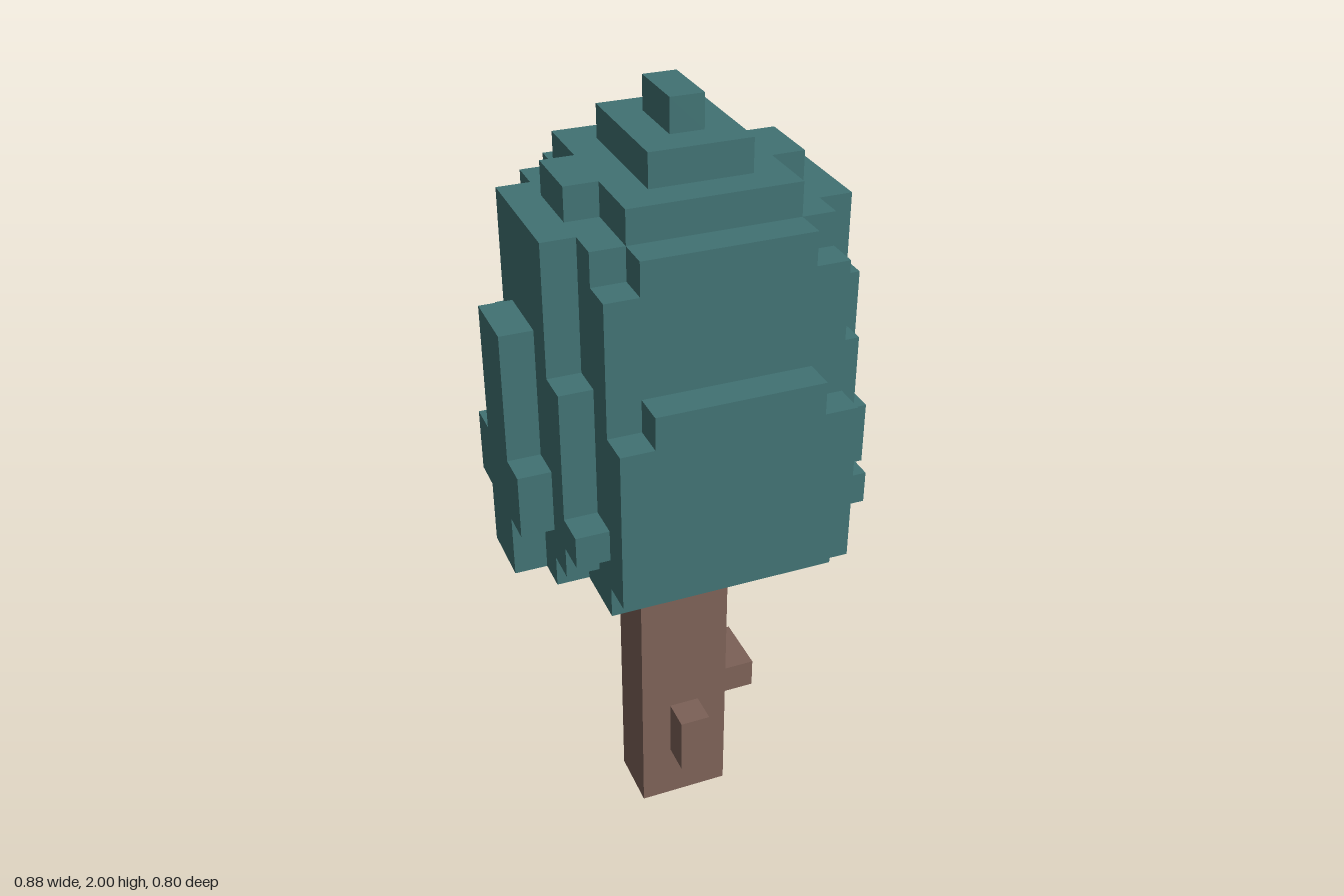
import * as THREE from 'three';

const leafMat = new THREE.MeshStandardMaterial({ color: 0x417273 });
const barkMat = new THREE.MeshStandardMaterial({ color: 0x7c6157 });

// Foliage bands: bottom, top, then the [half width, half depth] of each stair step
const BANDS = [
  [0.88, 0.96, [0.44, 0.08], [0.36, 0.16], [0.28, 0.32]],
  [0.96, 1.04, [0.44, 0.08], [0.36, 0.24], [0.28, 0.4]],
  [1.04, 1.12, [0.44, 0.16], [0.36, 0.32], [0.28, 0.4]],
  [1.12, 1.2, [0.44, 0.16], [0.36, 0.24], [0.28, 0.4]],
  [1.2, 1.36, [0.44, 0.08], [0.36, 0.24], [0.28, 0.4]],
  [1.36, 1.44, [0.44, 0.08], [0.36, 0.24], [0.28, 0.32], [0.2, 0.4]],
  [1.44, 1.52, [0.44, 0.08], [0.36, 0.16], [0.28, 0.32]],
  [1.52, 1.68, [0.36, 0.16], [0.28, 0.32]],
  [1.68, 1.76, [0.36, 0.16], [0.28, 0.24], [0.2, 0.32]],
  [1.76, 1.84, [0.28, 0.08], [0.2, 0.24]],
  [1.84, 1.92, [0.12, 0.16]],
  [1.92, 2.0, [0.04, 0.08]],
];

// Stepped outline of one band, mirrored from a single quadrant
function bandShape(steps) {
  const q = [];
  steps.forEach(([x, z], i) => {
    if (i > 0) q.push([x, steps[i - 1][1]]);
    q.push([x, z]);
  });
  const r = [...q].reverse();
  const flip = (pts, sx, sz) => pts.map(([x, z]) => new THREE.Vector2(x * sx, z * sz));
  return new THREE.Shape([
    ...flip(q, 1, 1), ...flip(r, -1, 1), ...flip(q, -1, -1), ...flip(r, 1, -1),
  ]);
}

// Box given by its minimum and maximum corners
function block(name, [x0, y0, z0], [x1, y1, z1]) {
  const mesh = new THREE.Mesh(new THREE.BoxGeometry(x1 - x0, y1 - y0, z1 - z0), barkMat);
  mesh.position.set((x0 + x1) / 2, (y0 + y1) / 2, (z0 + z1) / 2);
  mesh.name = name;
  return mesh;
}

export function createModel() {
  const tree = new THREE.Group();
  tree.name = 'tree';

  // Trunk with short branch stubs
  const trunk = new THREE.Group();
  trunk.name = 'trunk';
  trunk.add(
    block('trunkPost', [-0.12, 0, -0.08], [0.12, 0.88, 0.08]),
    block('rightBranch', [-0.2, 0.72, -0.08], [-0.12, 0.88, 0.08]),
    block('leftBranch', [0.12, 0.32, -0.08], [0.2, 0.4, 0.08]),
    block('frontStub', [-0.04, 0.16, 0.08], [0.04, 0.32, 0.16]),
    block('backStub', [-0.04, 0.56, -0.16], [0.04, 0.72, -0.08]),
  );
  tree.add(trunk);

  // Foliage stacked band by band
  const foliage = new THREE.Group();
  foliage.name = 'foliage';
  for (const [y0, y1, ...steps] of BANDS) {
    const geo = new THREE.ExtrudeGeometry(bandShape(steps), { depth: y1 - y0, bevelEnabled: false });
    geo.rotateX(-Math.PI / 2);
    const mesh = new THREE.Mesh(geo, leafMat);
    mesh.position.y = y0;
    mesh.name = 'foliageBand';
    foliage.add(mesh);
  }
  tree.add(foliage);
  return tree;
}
